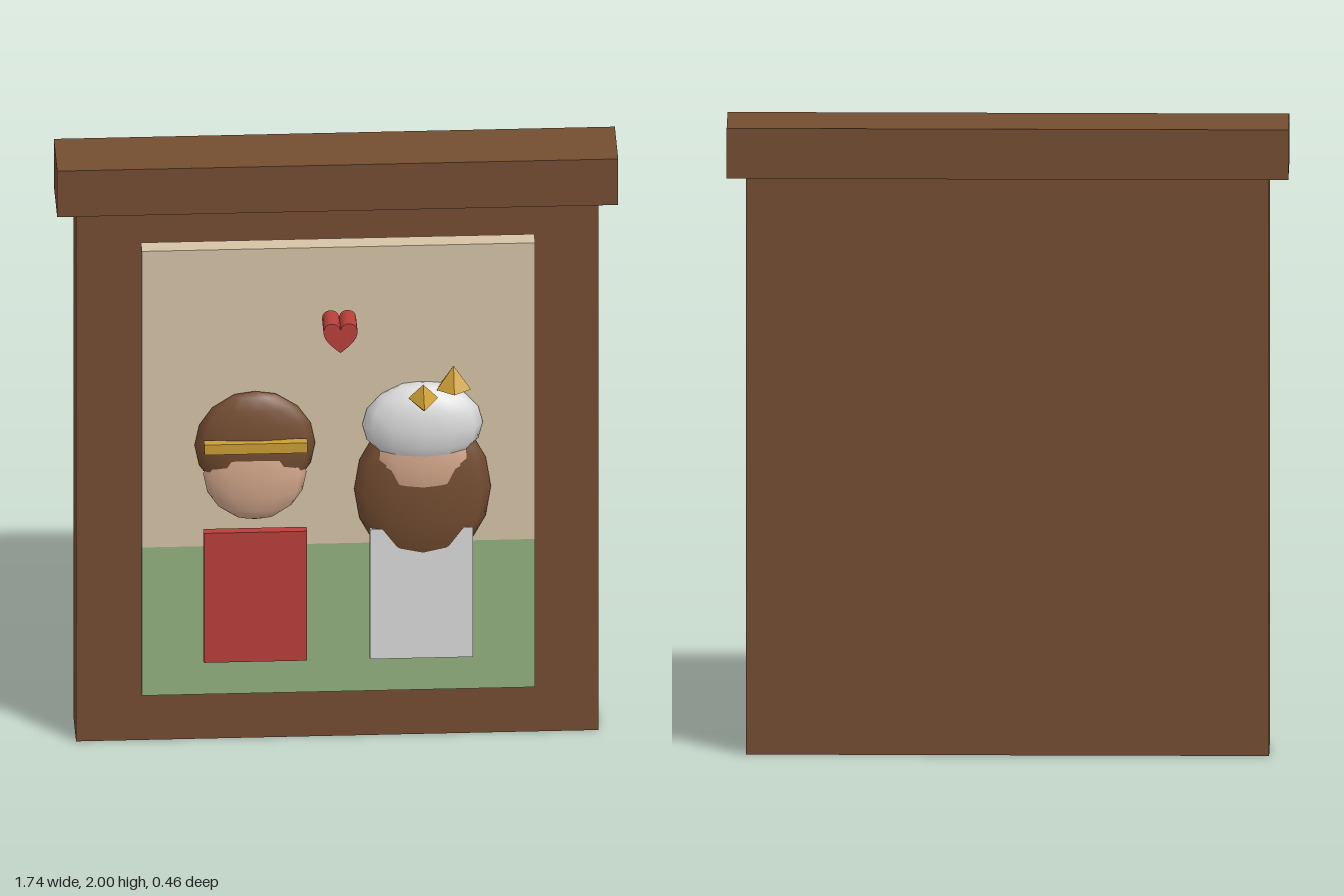
import * as THREE from 'three';

const mat = (name, color) => {
  const m = new THREE.MeshStandardMaterial({ color });
  m.name = name;
  return m;
};

export function createModel() {
  const root = new THREE.Group();
  root.name = 'framedPortrait';
  const wood = mat('brown', 0x744d31);
  const tan = mat('tan', 0xd6c3a6);
  const green = mat('green', 0x93b17f);
  const red = mat('red', 0xb83f3a);
  const white = mat('paleGrey', 0xdadada);
  const skin = mat('skin', 0xd3a78b);
  const gold = mat('gold', 0xcb9d35);

  const add = (name, geo, material, parent = root) => {
    const m = new THREE.Mesh(geo, material);
    m.name = name;
    parent.add(m);
    return m;
  };
  // box given by its limits on each axis
  const box = (name, material, x0, x1, y0, y1, z0, z1, parent) => {
    const m = add(name, new THREE.BoxGeometry(x1 - x0, y1 - y0, z1 - z0), material, parent);
    m.position.set((x0 + x1) / 2, (y0 + y1) / 2, (z0 + z1) / 2);
    return m;
  };
  // flattened low-segment ellipsoid
  const blob = (name, material, x, y, z, rx, ry, rz, parent) => {
    const m = add(name, new THREE.SphereGeometry(1, 12, 8).scale(rx, ry, rz), material, parent);
    m.position.set(x, y, z);
    return m;
  };
  // faceted spike
  const spike = (name, radius, height, sides, parent) => {
    const geo = new THREE.ConeGeometry(radius, height, sides).toNonIndexed();
    geo.computeVertexNormals();
    return add(name, geo, gold, parent);
  };

  // Frame and painted panel
  box('backBoard', wood, -0.81, 0.81, 0, 1.84, -0.20, -0.04);
  box('topBeam', wood, -0.87, 0.87, 1.84, 2, -0.23, -0.01);
  box('skyPanel', tan, -0.61, 0.61, 0.71, 1.74, -0.02, 0.04);
  box('grassPanel', green, -0.61, 0.61, 0.195, 0.71, -0.02, 0.04);

  // Figure with headband
  const a = new THREE.Group();
  a.name = 'headbandFigure';
  root.add(a);
  box('redBody', red, -0.42, -0.10, 0.33, 0.78, 0.06, 0.09, a);
  blob('hair', wood, -0.26, 1.07, 0.055, 0.187, 0.183, 0.053, a);
  blob('face', skin, -0.26, 0.97, 0.058, 0.16, 0.16, 0.053, a);
  box('headband', gold, -0.42, -0.10, 1.07, 1.105, 0.095, 0.125, a);

  // Figure with long hair, cap and ornaments
  const b = new THREE.Group();
  b.name = 'cappedFigure';
  root.add(b);
  box('paleBody', white, 0.095, 0.415, 0.33, 0.78, 0.06, 0.09, b);
  blob('longHair', wood, 0.26, 0.905, 0.053, 0.212, 0.265, 0.063, b);
  blob('face', skin, 0.26, 1.0, 0.06, 0.16, 0.16, 0.06, b);
  blob('cap', white, 0.26, 1.13, 0.055, 0.187, 0.142, 0.08, b);
  const front = spike('frontOrnament', 0.046, 0.09, 4, b);
  front.rotation.x = Math.PI / 2;
  front.position.set(0.258, 1.26, 0.184);
  spike('upperOrnament', 0.056, 0.075, 5, b).position.set(0.355, 1.302, 0.08);

  // Heart
  const s = new THREE.Shape();
  s.moveTo(0, -0.05);
  s.bezierCurveTo(0.018, -0.034, 0.053, -0.008, 0.053, 0.022);
  s.bezierCurveTo(0.053, 0.06, 0.006, 0.06, 0, 0.03);
  s.bezierCurveTo(-0.006, 0.06, -0.053, 0.06, -0.053, 0.022);
  s.bezierCurveTo(-0.053, -0.008, -0.018, -0.034, 0, -0.05);
  const heart = add('heart', new THREE.ExtrudeGeometry(s, { depth: 0.095, bevelEnabled: false, curveSegments: 8 }), red);
  heart.position.set(0, 1.49, 0.08);

  return root;
}
